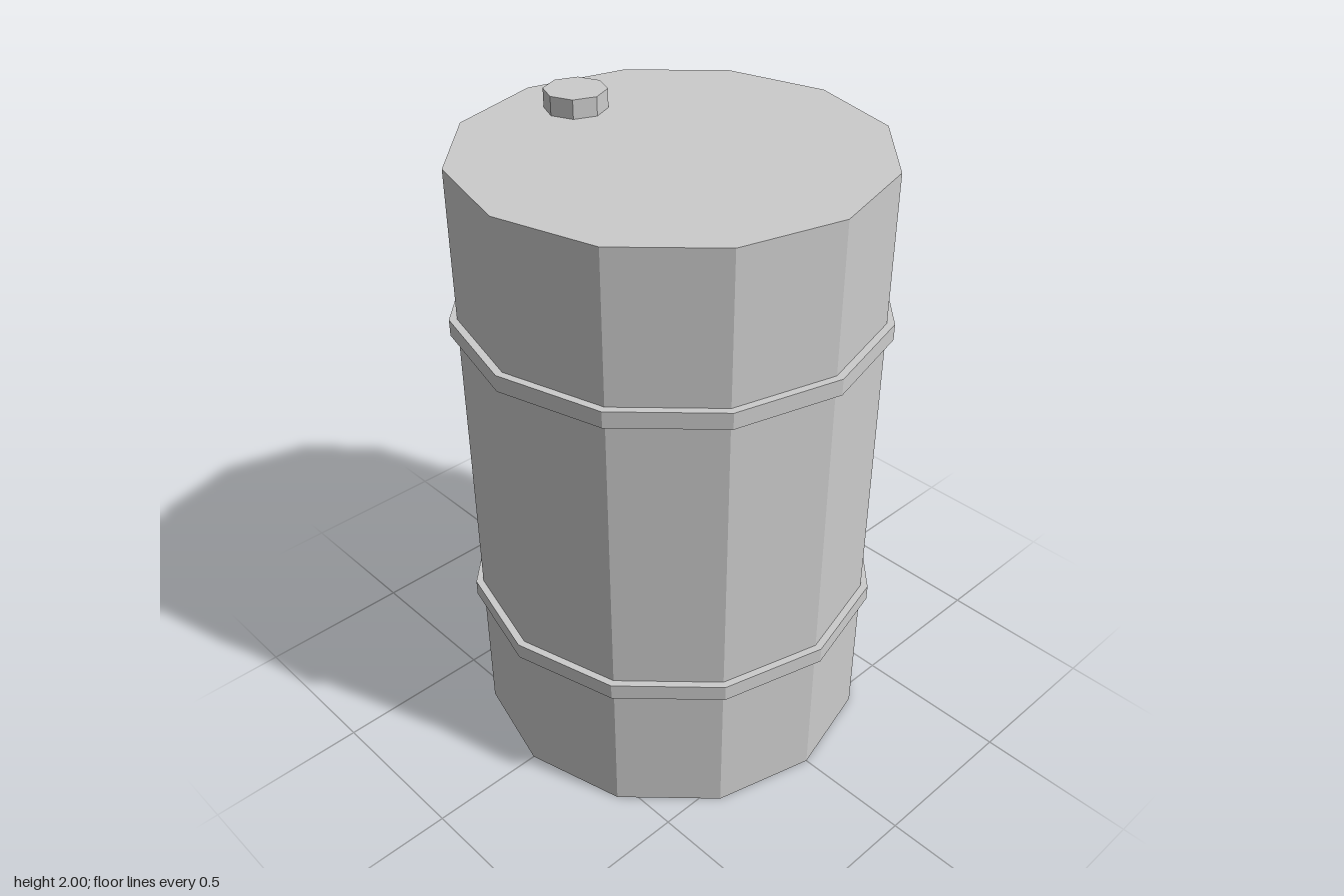
import * as THREE from 'three';

export function createModel() {
  const barrel = new THREE.Group();
  barrel.name = 'barrel';
  const material = new THREE.MeshStandardMaterial({ color: 0xcccccc, flatShading: true });

  // Upright faceted cylinder spanning bottom to top
  function addCylinder(name, radius, bottom, top, sides, x = 0) {
    const geometry = new THREE.CylinderGeometry(radius, radius, top - bottom, sides);
    const mesh = new THREE.Mesh(geometry, material);
    mesh.name = name;
    mesh.position.set(x, (bottom + top) / 2, 0);
    barrel.add(mesh);
  }

  // Closed drum
  addCylinder('body', 0.632, 0, 1.942, 12);

  // Raised hoops around the drum
  addCylinder('lowerHoop', 0.655, 0.461, 0.512, 12);
  addCylinder('upperHoop', 0.655, 1.434, 1.485, 12);

  // Filler plug on the lid, slightly sunk into it
  addCylinder('plug', 0.095, 1.93, 2, 8, -0.408);

  return barrel;
}
